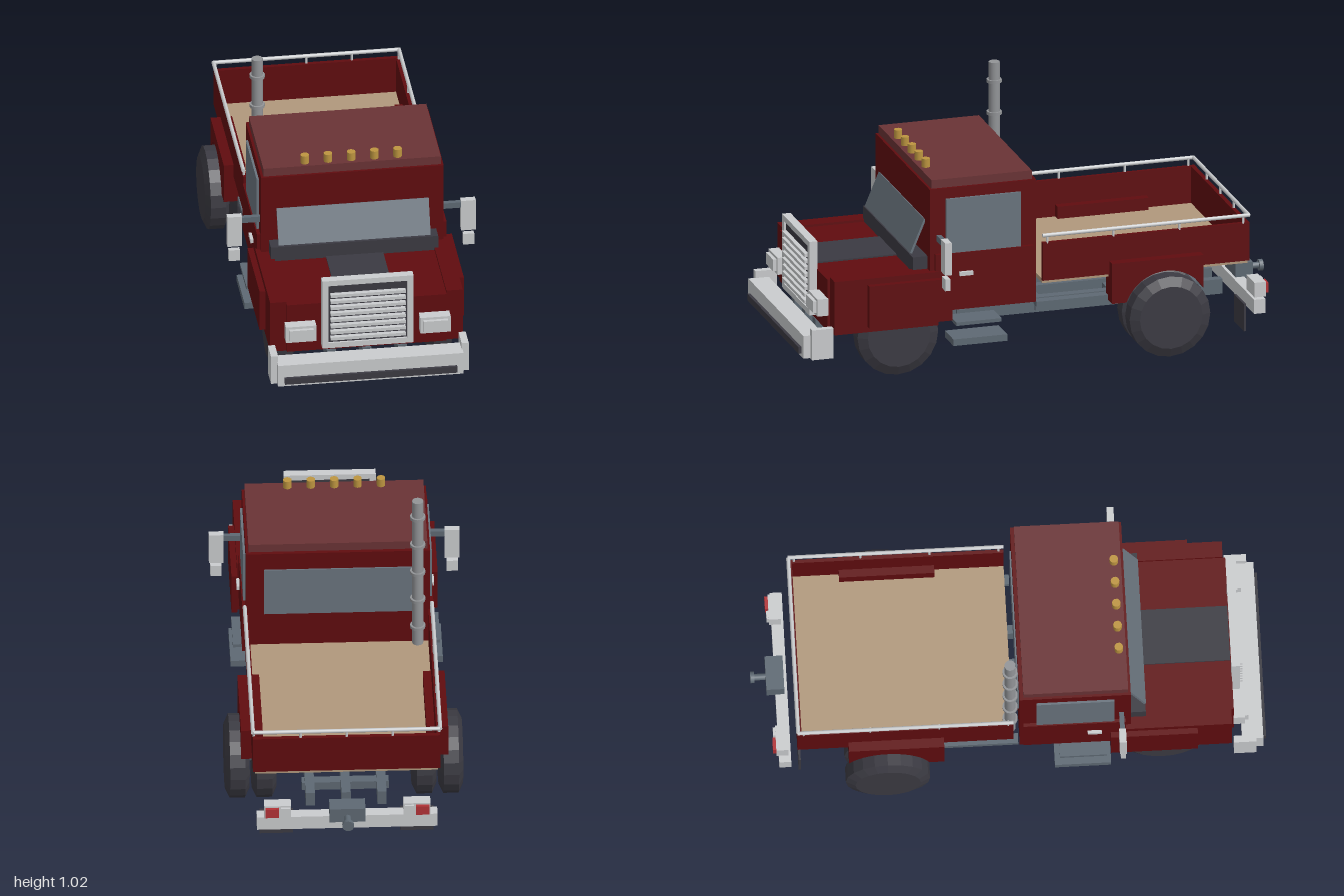
import * as THREE from 'three';

const mat = (name, color) => Object.assign(new THREE.MeshStandardMaterial({ color }), { name });

export function createModel() {
  const truck = new THREE.Group();
  truck.name = 'truck';
  const red = mat('body red', 0x600c0f), roofRed = mat('roof red', 0x6a3335);
  const dark = mat('dark rubber', 0x3b3a42), chrome = mat('chrome', 0xcaccce);
  const steel = mat('frame steel', 0x5e6973), glass = mat('glass', 0x6a747e);
  const wood = mat('bed boards', 0xb0987c), amber = mat('amber', 0xbd9540);
  const tail = mat('tail red', 0xb23236), pipe = mat('pipe grey', 0x929497);

  const add = (name, geo, m) => {
    const mesh = new THREE.Mesh(geo, m);
    mesh.name = name;
    truck.add(mesh);
    return mesh;
  };
  // box given by its limits on each axis
  const box = (name, m, x0, x1, y0, y1, z0, z1) => {
    const mesh = add(name, new THREE.BoxGeometry(x1 - x0, y1 - y0, z1 - z0), m);
    mesh.position.set((x0 + x1) / 2, (y0 + y1) / 2, (z0 + z1) / 2);
    return mesh;
  };
  // box centred on x = 0, and a mirrored pair of boxes
  const mid = (name, m, w, ...r) => box(name, m, -w, w, ...r);
  const pair = (name, m, x0, x1, ...r) => {
    box(name + 'Left', m, x0, x1, ...r);
    box(name + 'Right', m, -x1, -x0, ...r);
  };
  const rod = (name, m, r, len, x, y, z, axis = 'y', sides = 16) => {
    const mesh = add(name, new THREE.CylinderGeometry(r, r, len, sides), m);
    if (axis === 'x') mesh.rotation.z = Math.PI / 2;
    if (axis === 'z') mesh.rotation.x = Math.PI / 2;
    mesh.position.set(x, y, z);
  };

  // Frame
  for (const x of [-0.14, 0, 0.14]) box('frameRail', steel, x - 0.018, x + 0.018, 0.135, 0.195, -0.79, 0.875);
  for (const z of [-0.68, -0.36, -0.04, 0.28, 0.6]) mid('crossMember', steel, 0.17, 0.145, 0.18, z - 0.02, z + 0.02);
  rod('rearAxle', steel, 0.022, 0.8, 0, 0.165, -0.485, 'x');
  rod('frontAxle', steel, 0.022, 0.6, 0, 0.165, 0.595, 'x');
  pair('lowerStep', steel, 0.3, 0.415, 0.12, 0.147, 0.17, 0.39);
  pair('upperStep', steel, 0.3, 0.405, 0.198, 0.212, 0.19, 0.375);
  pair('bedSideBar', steel, 0.31, 0.35, 0.225, 0.245, -0.27, 0.03);

  // Wheels: chamfered tyre with flat faces
  const wheel = (x, z) => {
    const pts = [[0, -0.0475], [0.128, -0.0475], [0.165, -0.03], [0.165, 0.03], [0.128, 0.0475], [0, 0.0475]];
    const geo = new THREE.LatheGeometry(pts.map(p => new THREE.Vector2(...p)), 20).toNonIndexed();
    geo.computeVertexNormals();
    const mesh = add('wheel', geo, dark);
    mesh.rotation.z = Math.PI / 2;
    mesh.position.set(x, 0.165, z);
  };
  for (const s of [-1, 1]) {
    wheel(s * 0.3125, 0.595);
    wheel(s * 0.3125, -0.485);
    wheel(s * 0.4175, -0.485);
  }

  // Cab
  mid('cab', red, 0.36, 0.25, 0.755, 0.035, 0.47);
  mid('roof', roofRed, 0.35, 0.755, 0.79, 0.05, 0.46);
  pair('door', red, 0.36, 0.374, 0.28, 0.488, 0.05, 0.45);
  pair('sideWindow', glass, 0.36, 0.369, 0.487, 0.712, 0.1, 0.405);
  mid('rearWindow', glass, 0.29, 0.47, 0.68, 0.029, 0.036);
  pair('doorHandle', chrome, 0.374, 0.386, 0.395, 0.411, 0.3, 0.355);
  const shield = mid('windshield', glass, 0.3, 0.473, 0.62, 0.495, 0.504);
  shield.rotation.x = -0.4;
  mid('cowl', dark, 0.33, 0.4, 0.472, 0.47, 0.53);
  for (let i = -2; i <= 2; i++) rod('roofLight', amber, 0.017, 0.035, i * 0.0915, 0.8075, 0.432, 'y', 10);

  // Hood and front fenders
  mid('hood', red, 0.315, 0.2, 0.41, 0.47, 0.875);
  pair('hoodSide', red, 0.315, 0.38, 0.2, 0.42, 0.44, 0.865);
  pair('frontFender', red, 0.38, 0.403, 0.222, 0.395, 0.39, 0.73);
  mid('hoodPanel', dark, 0.113, 0.409, 0.416, 0.52, 0.872);

  // Grille
  mid('grilleBack', dark, 0.157, 0.243, 0.503, 0.875, 0.899);
  pair('grilleSide', chrome, 0.155, 0.18, 0.222, 0.525, 0.873, 0.907);
  mid('grilleTop', chrome, 0.156, 0.502, 0.525, 0.873, 0.907);
  mid('grilleBottom', chrome, 0.156, 0.222, 0.245, 0.873, 0.907);
  for (let i = 0; i < 8; i++) mid('grilleSlat', chrome, 0.148, 0.261 + i * 0.0275, 0.274 + i * 0.0275, 0.899, 0.917);

  // Headlights
  pair('headlightFrame', chrome, 0.205, 0.325, 0.265, 0.335, 0.873, 0.918);
  pair('headlight', chrome, 0.217, 0.313, 0.277, 0.325, 0.918, 0.932);

  // Front bumper
  mid('frontBumper', chrome, 0.366, 0.112, 0.205, 0.905, 0.988);
  pair('bumperEnd', chrome, 0.362, 0.39, 0.11, 0.233, 0.872, 0.96);
  mid('bumperStrip', dark, 0.34, 0.125, 0.152, 0.988, 1);

  // Mirrors
  pair('mirror', chrome, 0.432, 0.49, 0.44, 0.573, 0.42, 0.447);
  pair('lowerMirror', chrome, 0.44, 0.484, 0.374, 0.422, 0.424, 0.445);
  pair('mirrorArm', steel, 0.36, 0.433, 0.541, 0.565, 0.424, 0.443);

  // Exhaust stack
  rod('exhaustStack', pipe, 0.022, 0.7, -0.31, 0.67, 0);
  for (const y of [0.42, 0.55, 0.68, 0.81, 0.942]) rod('stackCollar', pipe, 0.03, 0.013, -0.31, y, 0);

  // Cargo bed
  mid('bedFloor', wood, 0.358, 0.323, 0.34, -0.83, 0.01);
  pair('bedSide', red, 0.352, 0.366, 0.335, 0.492, -0.835, 0.01);
  mid('tailgate', red, 0.353, 0.335, 0.492, -0.835, -0.818);
  for (const s of [-1, 1]) {
    rod('sideRail', chrome, 0.008, 0.845, s * 0.366, 0.522, -0.412, 'z', 8);
    for (const z of [-0.01, -0.28, -0.55, -0.81]) rod('railPost', chrome, 0.005, 0.035, s * 0.362, 0.506, z, 'y', 8);
  }
  rod('rearRail', chrome, 0.008, 0.73, 0, 0.522, -0.832, 'x', 8);
  for (const x of [-0.18, 0, 0.18]) rod('railPost', chrome, 0.005, 0.035, x, 0.506, -0.829, 'y', 8);

  // Rear fenders with wheel arch, drawn with the shape's x along -z
  const arch = new THREE.Shape();
  const a0 = Math.asin(0.06 / 0.175), a1 = Math.PI - Math.acos(0.15 / 0.175);
  arch.moveTo(0.262, 0.225);
  arch.lineTo(0.262, 0.39);
  arch.lineTo(0.635, 0.39);
  arch.lineTo(0.635, 0.255);
  arch.absarc(0.485, 0.165, 0.175, Math.PI - a1, Math.PI - a0, false);
  const archGeo = new THREE.ExtrudeGeometry(arch, { depth: 0.085, bevelEnabled: false, curveSegments: 14 });
  archGeo.rotateY(Math.PI / 2);
  for (const x of [0.32, -0.405]) add('rearFender', archGeo, red).position.x = x;

  // Rear bumper, tail lights, mud flaps and hitch
  mid('rearBumper', chrome, 0.353, 0.107, 0.165, -0.905, -0.858);
  pair('tailLightHousing', chrome, 0.22, 0.325, 0.165, 0.225, -0.915, -0.868);
  pair('tailLight', tail, 0.268, 0.32, 0.178, 0.218, -0.928, -0.914);
  pair('reverseLight', chrome, 0.225, 0.26, 0.178, 0.218, -0.924, -0.914);
  pair('mudFlap', dark, 0.21, 0.34, 0.035, 0.147, -0.829, -0.82);
  mid('hitchBox', steel, 0.07, 0.16, 0.222, -0.94, -0.87);
  rod('hitchShaft', steel, 0.013, 0.055, 0, 0.182, -0.965, 'z');
  rod('hitchEnd', steel, 0.023, 0.016, 0, 0.182, -0.992, 'z');

  return truck;
}
